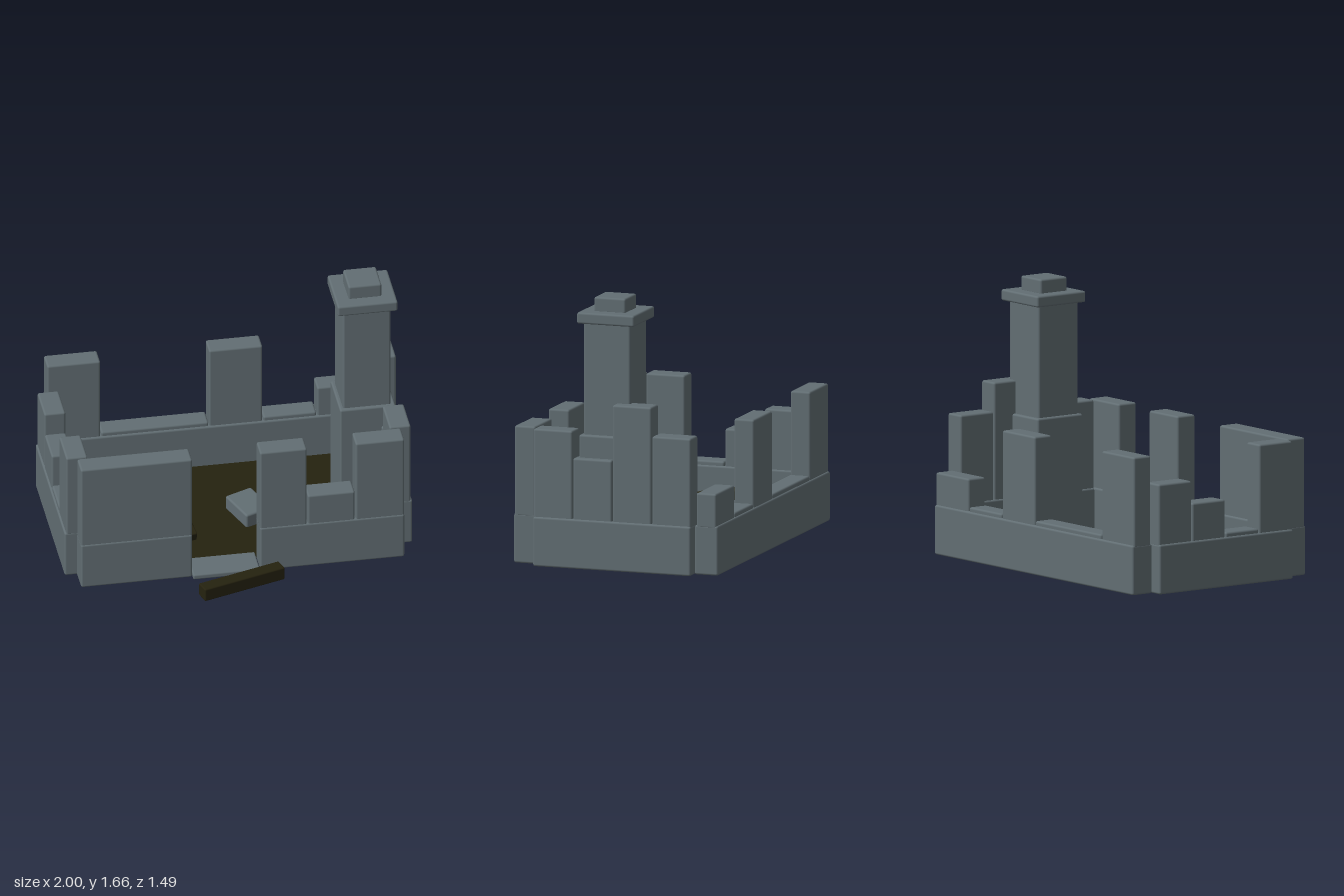
import * as THREE from 'three';
import { RoundedBoxGeometry } from 'three/addons/geometries/RoundedBoxGeometry.js';

export function createModel() {
  const root = new THREE.Group();
  root.name = 'ruinedHouse';
  const stone = new THREE.MeshStandardMaterial({ color: 0x626e73 });
  stone.name = 'stone grey';
  const wood = new THREE.MeshStandardMaterial({ color: 0x25220f });
  wood.name = 'charred wood';

  // Bevelled block from its minimum and maximum corners
  function block(name, x0, x1, y0, y1, z0, z1, mat = stone, r = 0.012) {
    const w = x1 - x0, h = y1 - y0, d = z1 - z0;
    const radius = Math.min(r, h * 0.3);
    const mesh = new THREE.Mesh(new RoundedBoxGeometry(w, h, d, 2, radius), mat);
    mesh.position.set((x0 + x1) / 2, (y0 + y1) / 2, (z0 + z1) / 2);
    mesh.name = name;
    root.add(mesh);
    return mesh;
  }

  // Beam laid between two centre points
  function beam(name, a, b, width, height) {
    const from = new THREE.Vector3(...a), to = new THREE.Vector3(...b);
    const geo = new RoundedBoxGeometry(width, height, from.distanceTo(to), 2, 0.008);
    const mesh = new THREE.Mesh(geo, wood);
    mesh.position.copy(from).add(to).multiplyScalar(0.5);
    mesh.lookAt(to);
    mesh.name = name;
    root.add(mesh);
  }

  const BOTTOM = 0.12, LEDGE = 0.405;

  // Floor and doorstep
  const floor = new THREE.Mesh(new THREE.BoxGeometry(1.74, 0.025, 0.97), wood);
  floor.position.set(0, 0.1335, -0.135);
  floor.name = 'floor';
  root.add(floor);
  block('doorstep', -0.29, 0.095, BOTTOM, 0.152, 0.325, 0.51);

  // Foundation courses
  block('backFoundation', -0.93, 0.93, BOTTOM, LEDGE, -0.75, -0.61);
  block('frontFoundationRight', -0.93, -0.29, BOTTOM, LEDGE, 0.34, 0.48);
  block('frontFoundationLeft', 0.10, 0.93, BOTTOM, LEDGE, 0.34, 0.48);
  for (const s of [-1, 1]) {
    block('sideFoundation', s < 0 ? -1 : 0.86, s < 0 ? -0.86 : 1, BOTTOM, LEDGE, -0.61, 0.34);
  }

  // Broken upper stones along front and back: [x0, x1, top]
  const front = [[-0.93, -0.29, 0.91], [0.10, 0.37, 0.91], [0.375, 0.645, 0.59], [0.65, 0.93, 0.91]];
  const back = [[-0.93, -0.625, 0.91], [-0.62, -0.003, 0.43], [0, 0.307, 0.91],
    [0.312, 0.617, 0.43], [0.622, 0.93, 0.59]];
  for (const [x0, x1, top] of front) block('frontWallStone', x0, x1, LEDGE - 0.015, top, 0.35, 0.475);
  for (const [x0, x1, top] of back) block('backWallStone', x0, x1, LEDGE - 0.015, top, -0.74, -0.62);

  // Broken upper stones along the sides, from back to front
  const rightTops = [0.75, 0.62, 0.43, 0.91];
  const leftTops = [0.91, 1.075, 0.755, 0.91];
  for (let i = 0; i < 4; i++) {
    const z0 = -0.608 + i * 0.238, z1 = z0 + 0.233;
    block('rightWallStone', -0.99, -0.868, LEDGE - 0.015, rightTops[i], z0, z1);
    block('leftWallStone', 0.868, 0.99, LEDGE - 0.015, leftTops[i], z0, z1);
  }

  // Chimney
  block('chimneyBase', 0.63, 0.95, 0.13, 0.885, -0.24, 0.08);
  block('chimneyShaft', 0.65, 0.925, 0.87, 1.535, -0.22, 0.06);
  block('chimneyCap', 0.615, 0.96, 1.525, 1.59, -0.255, 0.09);
  block('chimneyTop', 0.69, 0.88, 1.58, 1.67, -0.175, 0.015);

  // Fallen beams
  beam('doorBeam', [-0.275, 0.16, 0.705], [0.21, 0.16, 0.555], 0.08, 0.08);
  beam('sunkenBeam', [-0.79, 0.32, -0.325], [-0.14, 0.035, 0.215], 0.052, 0.056);
  beam('leaningBeam', [-0.345, 0.36, -0.32], [-0.245, 0.225, 0.235], 0.055, 0.055);
  beam('hearthLog', [0.545, 0.17, -0.085], [0.66, 0.17, -0.085], 0.04, 0.04);

  // Scattered rubble: [x, z, width, height, depth, turn, tilt]
  const rubble = [
    [0.13, -0.07, 0.17, 0.09, 0.23, 0.38, 0.04],
    [0.31, 0.21, 0.15, 0.1, 0.18, -0.72, 0.1],
    [-0.52, -0.03, 0.13, 0.08, 0.09, 0.55, 0.2],
    [-0.755, 0.255, 0.13, 0.09, 0.1, 0.65, 0.05],
    [-0.5, -0.58, 0.13, 0.09, 0.12, 0.12, 0.1],
    [-0.335, -0.585, 0.15, 0.09, 0.11, -0.1, 0.05],
    [0.86, -0.29, 0.15, 0.09, 0.17, -0.7, 0.05],
    [0.83, 0.06, 0.1, 0.08, 0.1, 0.5, 0.05],
  ];
  for (const [x, z, w, h, d, turn, tilt] of rubble) {
    const mesh = block('rubble', -w / 2, w / 2, 0, h, -d / 2, d / 2);
    mesh.position.set(x, 0.145 + h / 2, z);
    mesh.rotation.set(tilt, turn, tilt * 0.5, 'YXZ');
  }
  return root;
}
